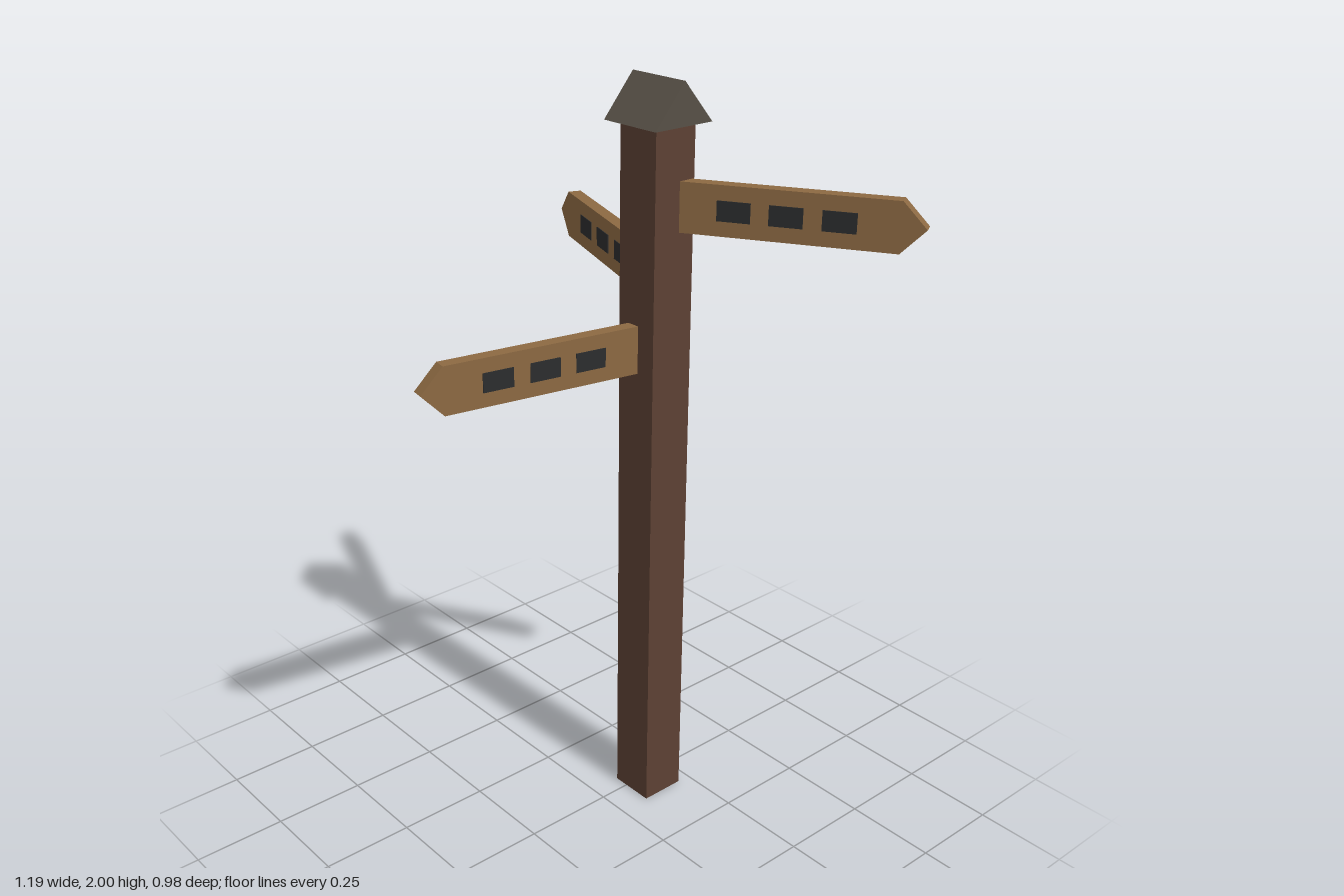
import * as THREE from 'three';

const postWood = new THREE.MeshStandardMaterial({ name: 'dark post wood', color: 0x5c4033 });
const boardWood = new THREE.MeshStandardMaterial({ name: 'light board wood', color: 0x8c6942 });
const capSlate = new THREE.MeshStandardMaterial({ name: 'slate cap', color: 0x575046 });
const plateDark = new THREE.MeshStandardMaterial({ name: 'dark plate', color: 0x2b2c2d });

const POST_WIDTH = 0.125, CAP_WIDTH = 0.18, CAP_BASE = 1.895, CAP_HEIGHT = 0.105;
const BOARD_LENGTH = 0.65, BOARD_HEIGHT = 0.125, BOARD_THICK = 0.035, POINT = 0.06;

function addMesh(parent, name, geometry, material, x = 0, y = 0, z = 0) {
  const mesh = new THREE.Mesh(geometry, material);
  mesh.name = name;
  mesh.position.set(x, y, z);
  parent.add(mesh);
  return mesh;
}

// Extrudes an outline so that its depth is centred on z = 0
function extrude(points, depth) {
  const shape = new THREE.Shape(points.map(([x, y]) => new THREE.Vector2(x, y)));
  return new THREE.ExtrudeGeometry(shape, { depth, bevelEnabled: false }).translate(0, 0, -depth / 2);
}

// Pointed board reaching out along +x, with three dark plates through to both faces
function makeBoard(name, y, degrees) {
  const board = new THREE.Group();
  board.name = name;
  board.position.y = y;
  board.rotation.y = THREE.MathUtils.degToRad(degrees);

  const h = BOARD_HEIGHT / 2, shoulder = BOARD_LENGTH - POINT;
  const outline = [[0.03, -h], [shoulder, -h], [BOARD_LENGTH, 0], [shoulder, h], [0.03, h]];
  addMesh(board, 'plank', extrude(outline, BOARD_THICK), boardWood);

  for (const side of [1, -1]) {
    for (const x of [0.195, 0.321, 0.448]) {
      addMesh(board, 'plate', new THREE.BoxGeometry(0.082, 0.05, 0.004), plateDark,
        x, 0, side * BOARD_THICK / 2);
    }
  }
  return board;
}

export function createModel() {
  const signpost = new THREE.Group();
  signpost.name = 'signpost';
  signpost.position.set(0.022, 0, -0.15);

  addMesh(signpost, 'post', new THREE.BoxGeometry(POST_WIDTH, CAP_BASE, POST_WIDTH), postWood,
    0, CAP_BASE / 2, 0);

  // Gabled cap, ridge running left to right
  const w = CAP_WIDTH / 2;
  const cap = addMesh(signpost, 'cap', extrude([[-w, 0], [w, 0], [0, CAP_HEIGHT]], CAP_WIDTH), capSlate,
    0, CAP_BASE, 0);
  cap.rotation.y = Math.PI / 2;

  signpost.add(
    makeBoard('upperBoard', 1.697, 30),
    makeBoard('middleBoard', 1.517, 160),
    makeBoard('lowerBoard', 1.337, -100),
  );

  const model = new THREE.Group();
  model.name = 'model';
  model.add(signpost);
  return model;
}
